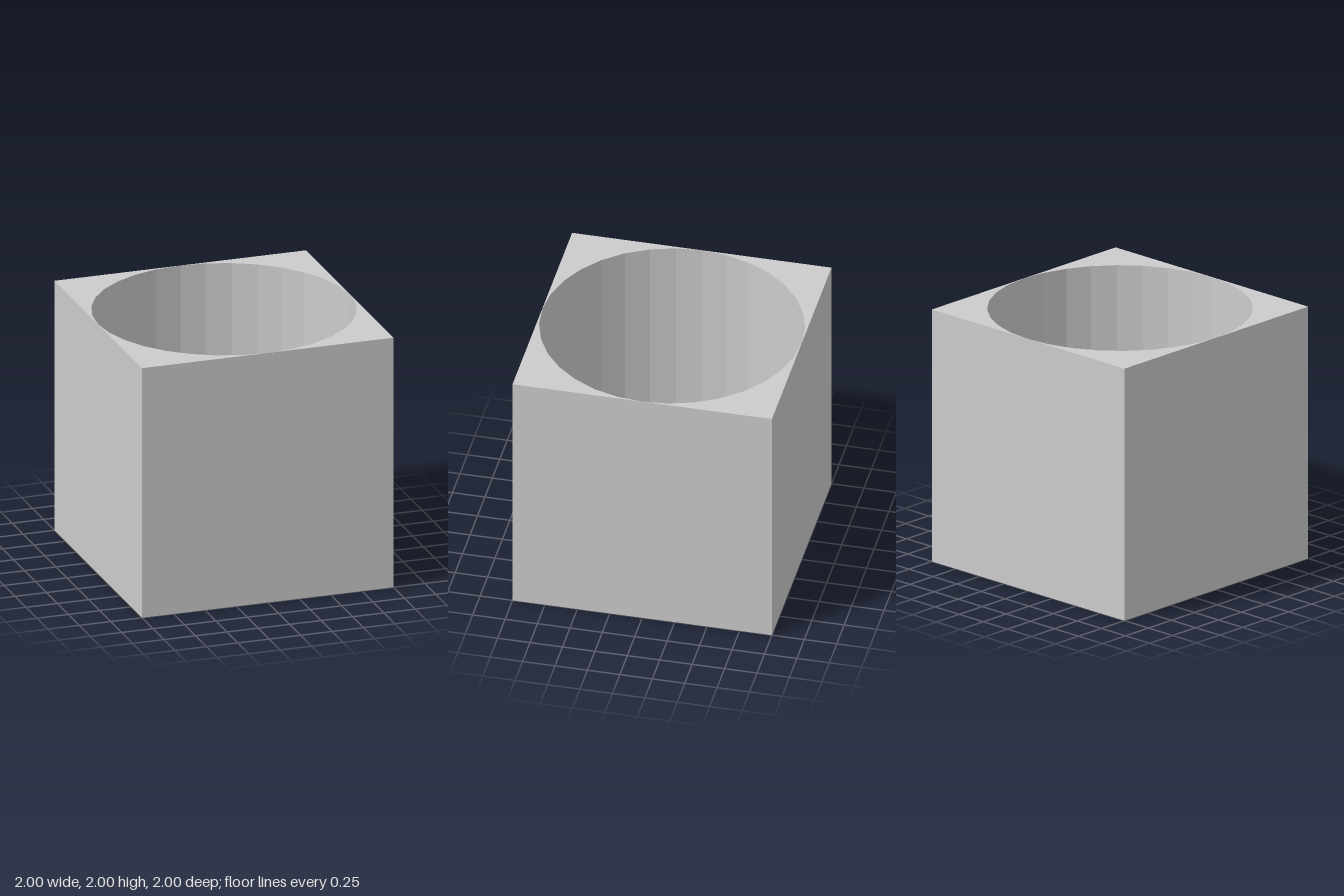
import * as THREE from 'three';

const SIZE = 2;
const HOLE_RADIUS = 0.999; // a hair inside the walls, so the block stays one piece
const SIDES = 32;

export function createModel() {
  const group = new THREE.Group();
  group.name = 'boredCube';

  // Square outline
  const h = SIZE / 2;
  const outline = new THREE.Shape([
    new THREE.Vector2(-h, -h),
    new THREE.Vector2(h, -h),
    new THREE.Vector2(h, h),
    new THREE.Vector2(-h, h),
  ]);

  // Faceted round bore with a corner on each axis
  const bore = [];
  for (let i = 0; i < SIDES; i++) {
    const a = (-i / SIDES) * Math.PI * 2;
    bore.push(new THREE.Vector2(Math.cos(a) * HOLE_RADIUS, Math.sin(a) * HOLE_RADIUS));
  }
  outline.holes.push(new THREE.Path(bore));

  // Cube with the bore running straight through, stood upright
  const geometry = new THREE.ExtrudeGeometry(outline, { depth: SIZE, bevelEnabled: false });
  geometry.rotateX(-Math.PI / 2);
  const block = new THREE.Mesh(
    geometry,
    new THREE.MeshStandardMaterial({ color: 0xcccccc, flatShading: true })
  );
  block.name = 'block';
  group.add(block);

  return group;
}
